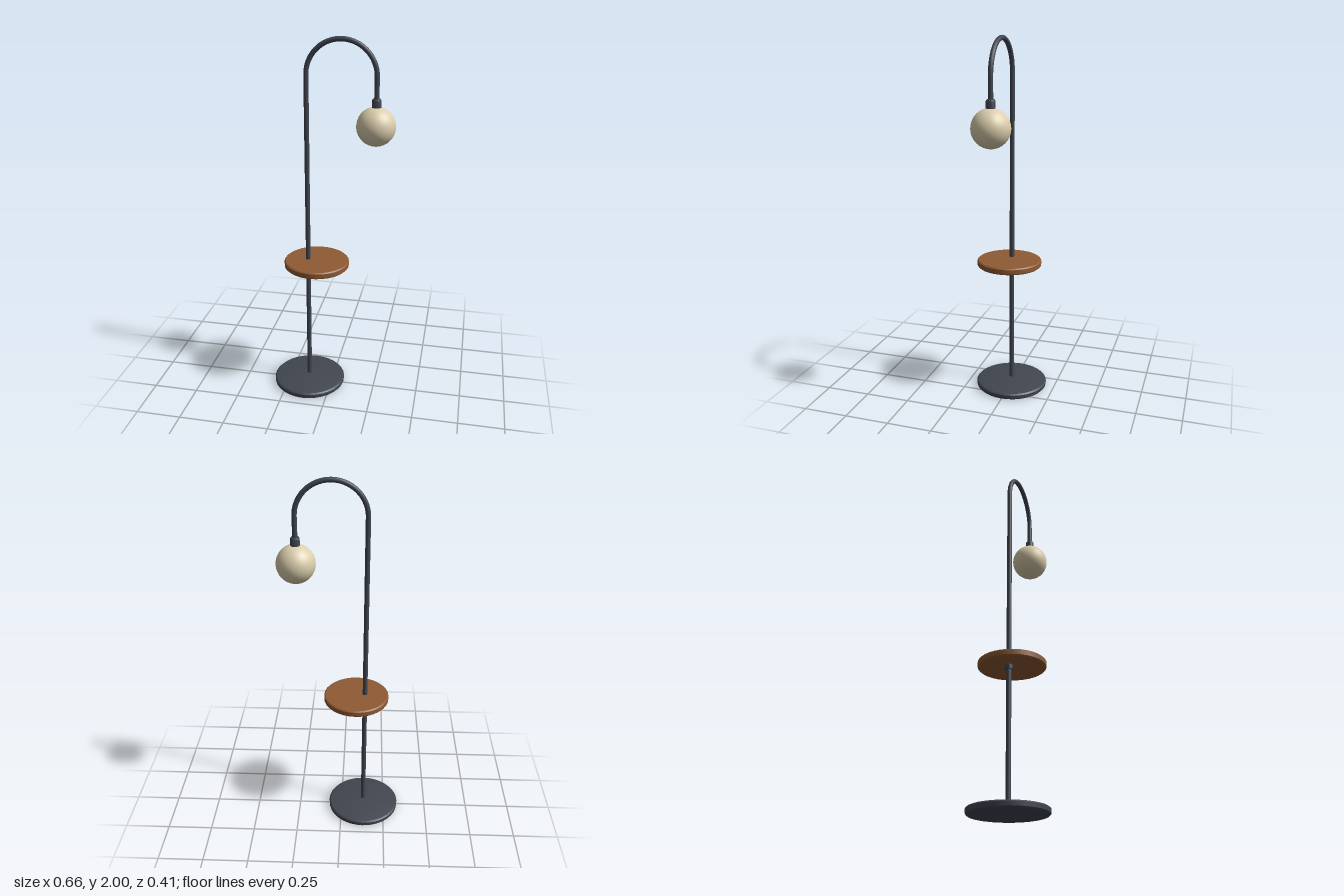
import * as THREE from 'three';
import { toCreasedNormals } from 'three/addons/utils/BufferGeometryUtils.js';

export function createModel() {
  const lamp = new THREE.Group();
  lamp.name = 'floorLamp';

  const material = (name, color) => {
    const m = new THREE.MeshStandardMaterial({ color });
    m.name = name;
    return m;
  };
  const metal = material('darkMetal', 0x414650);
  const wood = material('wood', 0x8f5b34);
  const glass = material('creamGlass', 0xdccfae);

  const add = (name, geometry, mat, x = 0, y = 0) => {
    const mesh = new THREE.Mesh(geometry, mat);
    mesh.name = name;
    mesh.position.set(x, y, 0);
    lamp.add(mesh);
  };
  // Round part from [radius, height] pairs, listed bottom to top
  const turned = (profile, sides) => toCreasedNormals(
    new THREE.LatheGeometry(profile.map(([r, y]) => new THREE.Vector2(r, y)), sides), 0.5);

  const poleX = -0.13, headX = 0.23, bendY = 1.807, bendR = 0.18, poleR = 0.013;

  // Weighted foot with a softly domed top
  add('base', turned([
    [0, 0.004], [0.196, 0.004], [0.202, 0.01], [0.203, 0.03],
    [0.196, 0.037], [0.15, 0.044], [0.08, 0.049], [0, 0.051],
  ], 32), metal, poleX);

  // Pole, half-circle bend and drop as one continuous tube
  const path = new THREE.CurvePath();
  const v = (x, y) => new THREE.Vector3(x, y, 0);
  class Bend extends THREE.Curve {
    getPoint(t, target = new THREE.Vector3()) {
      const a = Math.PI * (1 - t);
      return target.set(poleX + bendR + bendR * Math.cos(a), bendY + bendR * Math.sin(a), 0);
    }
  }
  path.add(new THREE.LineCurve3(v(poleX, 0.0), v(poleX, bendY)));
  path.add(new Bend());
  path.add(new THREE.LineCurve3(v(headX, bendY), v(headX, 1.67)));
  add('pole', new THREE.TubeGeometry(path, 160, poleR, 16, false), metal);

  // Off-centre tray with rounded rim, and the collar under it
  add('tray', turned([
    [0, 0.754], [0.172, 0.754], [0.178, 0.76], [0.178, 0.784], [0.172, 0.79], [0, 0.79],
  ], 32), wood, -0.082);
  add('trayCollar', turned([
    [0, 0.73], [0.022, 0.73], [0.022, 0.756], [0, 0.756],
  ], 16), metal, poleX);

  // Socket and globe
  add('socket', turned([
    [0, 1.645], [0.024, 1.645], [0.024, 1.692], [0.02, 1.7], [0, 1.7],
  ], 16), metal, headX);
  add('globe', new THREE.SphereGeometry(0.101, 28, 20), glass, headX, 1.559);

  // Rest the foot on the ground
  lamp.getObjectByName('base').position.y = -0.004;
  return lamp;
}
